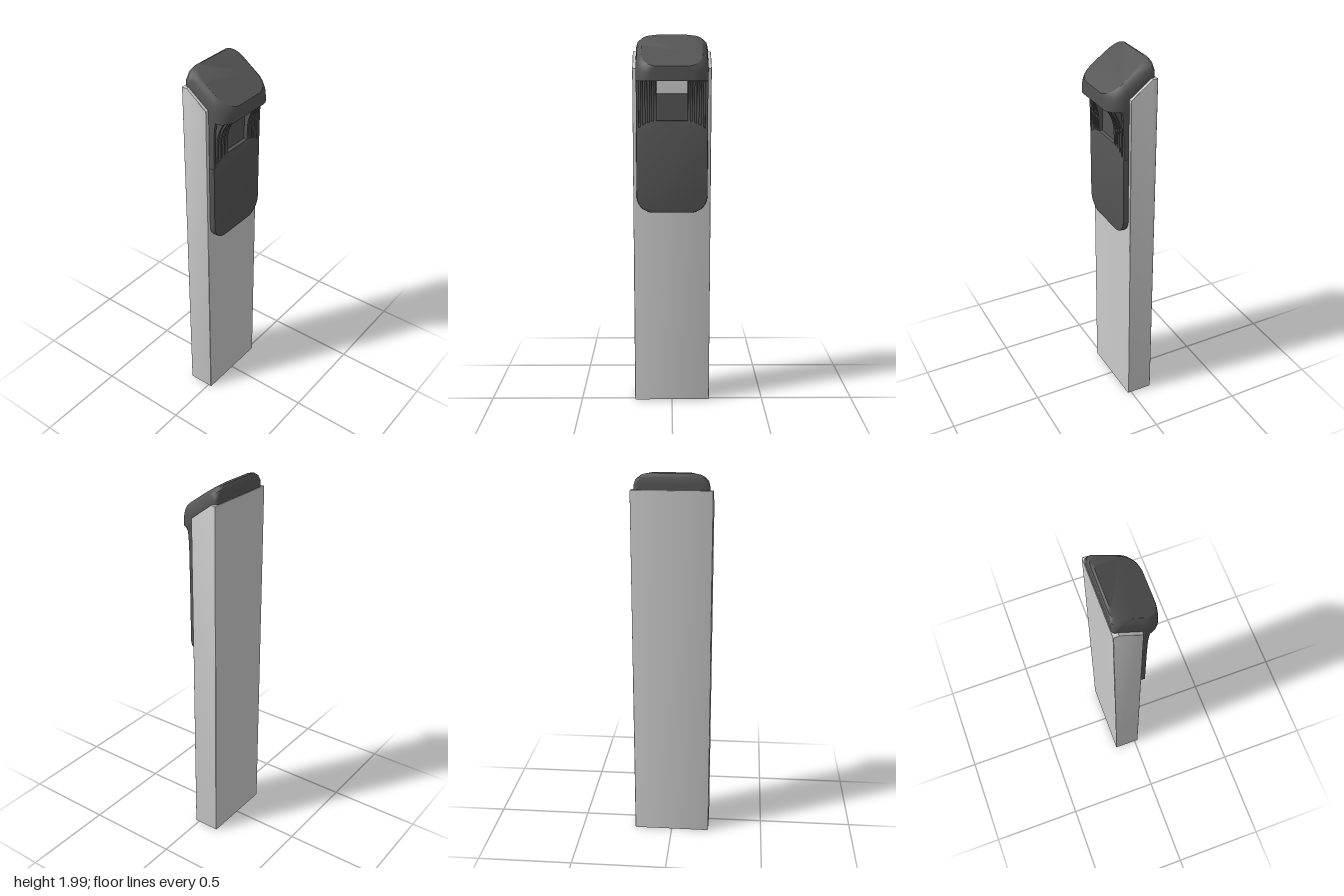
import * as THREE from 'three';
import { toCreasedNormals } from 'three/addons/utils/BufferGeometryUtils.js';

const grey = new THREE.MeshStandardMaterial({ color: 0xcccccc });
const pale = new THREE.MeshStandardMaterial({ color: 0xe4e4e4 });
const dark = new THREE.MeshStandardMaterial({ color: 0x555555 });

// Extrude a (z, y) side profile along x, centred on the given x
function sideExtrude(shape, width, x = 0, bevel = 0) {
  const g = new THREE.ExtrudeGeometry(shape, {
    depth: width, curveSegments: 16, bevelEnabled: bevel > 0,
    bevelSize: bevel, bevelThickness: bevel, bevelOffset: -bevel, bevelSegments: 3,
  });
  g.translate(0, 0, -width / 2);
  g.rotateY(-Math.PI / 2);
  g.translate(x, 0, 0);
  return toCreasedNormals(g, 0.5);
}

// Rounded rectangle in plan, with separate front and back corner radii
function planRing({ w, back, front, rf, rb }) {
  const n = 12, pts = [];
  for (let c = 0; c < 4; c++) {
    const sx = c === 0 || c === 3 ? 1 : -1, r = c < 2 ? rf : rb;
    const cz = c < 2 ? front - r : back + r;
    for (let i = 0; i <= n; i++) {
      const a = (c + i / n) * Math.PI / 2;
      pts.push([sx * (w - r) + r * Math.cos(a), cz + r * Math.sin(a)]);
    }
  }
  return pts;
}

// Join plan rings from top to bottom, closing both ends
function loft(rings) {
  const pos = [], index = [], n = rings[0].length;
  rings.forEach(r => r.forEach(p => pos.push(...p)));
  for (let i = 0; i < rings.length - 1; i++) {
    for (let j = 0; j < n; j++) {
      const k = (j + 1) % n, a = i * n + j, b = i * n + k;
      index.push(a, b, a + n, b, b + n, a + n);
    }
  }
  const last = (rings.length - 1) * n;
  for (let j = 1; j < n - 1; j++) {
    index.push(0, j + 1, j, last, last + j, last + j + 1);
  }
  const g = new THREE.BufferGeometry();
  g.setAttribute('position', new THREE.Float32BufferAttribute(pos, 3));
  g.setIndex(index);
  return toCreasedNormals(g, 0.5);
}

export function createModel() {
  const model = new THREE.Group();
  const add = (name, geometry, material, parent = model) => {
    const m = new THREE.Mesh(geometry, material);
    m.name = name;
    parent.add(m);
    return m;
  };

  // Tall post with a sloping top
  const post = new THREE.Shape([
    [-0.123, 0], [0.02, 0], [0.02, 1.815], [-0.095, 1.9], [-0.123, 1.9],
  ].map(p => new THREE.Vector2(...p)));
  add('post', sideExtrude(post, 0.402, 0, 0.004), grey);

  // Overhanging head with a slanted, softly edged top
  const slant = z => 1.83 + (0.12 - z) * 0.708;
  const sections = [
    { w: 0.157, back: -0.1, rf: 0.08, rb: 0.08, drop: 0 },
    { w: 0.171, back: -0.111, rf: 0.08, rb: 0.06, drop: 0.012 },
    { w: 0.182, back: -0.118, rf: 0.08, rb: 0.04, drop: 0.034 },
    { w: 0.188, back: -0.12, rf: 0.08, rb: 0.02, drop: 0.068 },
  ];
  const rings = sections.map(s => planRing({ ...s, front: 0.12 })
    .map(([x, z]) => [x, slant(z) - s.drop, z]));
  rings.push(planRing({ ...sections[3], front: 0.12 }).map(([x, z]) => [x, 1.755, z]));
  add('head', loft(rings), dark);

  // Front plate: rounded lower corners and an arched upper edge
  const w = 0.187, bottom = 1.065, r = 0.09, b = 0.005;
  const plate = new THREE.Shape();
  plate.moveTo(-w + r, bottom);
  plate.lineTo(w - r, bottom);
  plate.absarc(w - r, bottom + r, r, -Math.PI / 2, 0);
  plate.lineTo(w, 1.5);
  plate.quadraticCurveTo(0.14, 1.545, 0.08, 1.55);
  plate.lineTo(-0.08, 1.55);
  plate.quadraticCurveTo(-0.14, 1.545, -w, 1.5);
  plate.lineTo(-w, bottom + r);
  plate.absarc(-w + r, bottom + r, r, Math.PI, Math.PI * 1.5);
  const plateGeometry = new THREE.ExtrudeGeometry(plate, {
    depth: 0.035, bevelSize: b, bevelThickness: b, bevelOffset: -b,
    bevelSegments: 2, curveSegments: 16,
  });
  plateGeometry.translate(0, 0, 0.01);
  add('frontPlate', toCreasedNormals(plateGeometry, 0.5), dark);

  // Recess under the head: dark floor, side backing and a pale window
  add('recessFloor', new THREE.BoxGeometry(0.17, 0.19, 0.03).translate(0, 1.595, 0.015), dark);
  add('window', new THREE.BoxGeometry(0.17, 0.07, 0.02).translate(0, 1.723, 0.014), pale);

  // Flared ribs on either side of the recess, following the head's rounded plan
  for (const side of [-1, 1]) {
    const ribs = new THREE.Group();
    ribs.name = side > 0 ? 'leftRibs' : 'rightRibs';
    model.add(ribs);
    add('ribBacking', new THREE.BoxGeometry(0.1, 0.28, 0.03)
      .translate(side * 0.133, 1.62, 0.018), dark, ribs);
    for (let i = 0; i < 5; i++) {
      const x = 0.088 + i * 0.0228;
      const out = Math.max(0, x + 0.006 - 0.108);
      const tip = 0.04 + Math.sqrt(0.08 ** 2 - out ** 2) - 0.002;
      const rib = new THREE.Shape();
      rib.moveTo(0, 1.48);
      rib.lineTo(0.048, 1.48);
      rib.lineTo(0.049, 1.6);
      rib.bezierCurveTo(0.049, 1.68, 0.049 + (tip - 0.049) * 0.4, 1.73, tip, 1.76);
      rib.lineTo(0, 1.76);
      add('rib', sideExtrude(rib, 0.014, side * x), dark, ribs);
    }
  }

  return model;
}
